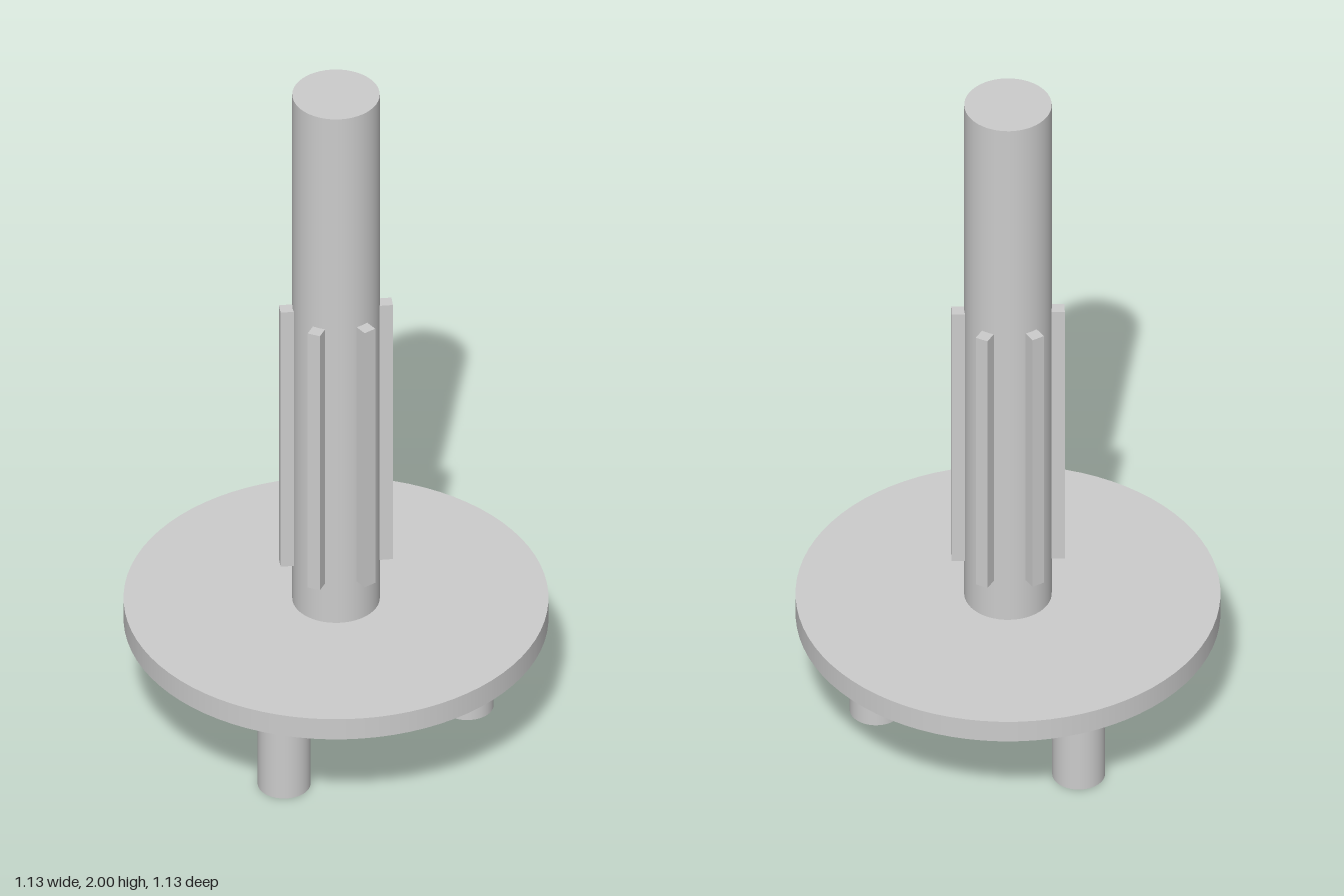
import * as THREE from 'three';

export function createModel() {
  const model = new THREE.Group();
  const material = new THREE.MeshStandardMaterial({ color: 0xcccccc });

  function add(name, geometry, x, y, z) {
    const mesh = new THREE.Mesh(geometry, material);
    mesh.name = name;
    mesh.position.set(x, y, z);
    model.add(mesh);
    return mesh;
  }

  // Upright cylinder between two heights
  function rod(name, radius, bottom, top, x = 0, z = 0, sides = 48) {
    const geometry = new THREE.CylinderGeometry(radius, radius, top - bottom, sides);
    return add(name, geometry, x, (bottom + top) / 2, z);
  }

  const discBottom = 0.31, discTop = 0.375;
  rod('disc', 0.563, discBottom, discTop, 0, 0, 80);
  rod('shaft', 0.116, discTop, 2);
  rod('centrePin', 0.046, 0.1, discBottom);

  // Three drive pins under the disc
  for (let i = 0; i < 3; i++) {
    const a = (i * Math.PI * 2) / 3;
    rod('drivePin' + (i + 1), 0.07, 0, discBottom, 0.35 * Math.cos(a), 0.35 * Math.sin(a));
  }

  // Six splines around the shaft, sunk slightly into it
  const inner = 0.105, outer = 0.15, low = 0.5, high = 1.32;
  const splineGeometry = new THREE.BoxGeometry(outer - inner, high - low, 0.035);
  for (let i = 0; i < 6; i++) {
    const a = (i * Math.PI) / 3;
    const r = (inner + outer) / 2;
    const spline = add('spline' + (i + 1), splineGeometry, r * Math.cos(a), (low + high) / 2, r * Math.sin(a));
    spline.rotation.y = -a;
  }

  return model;
}
